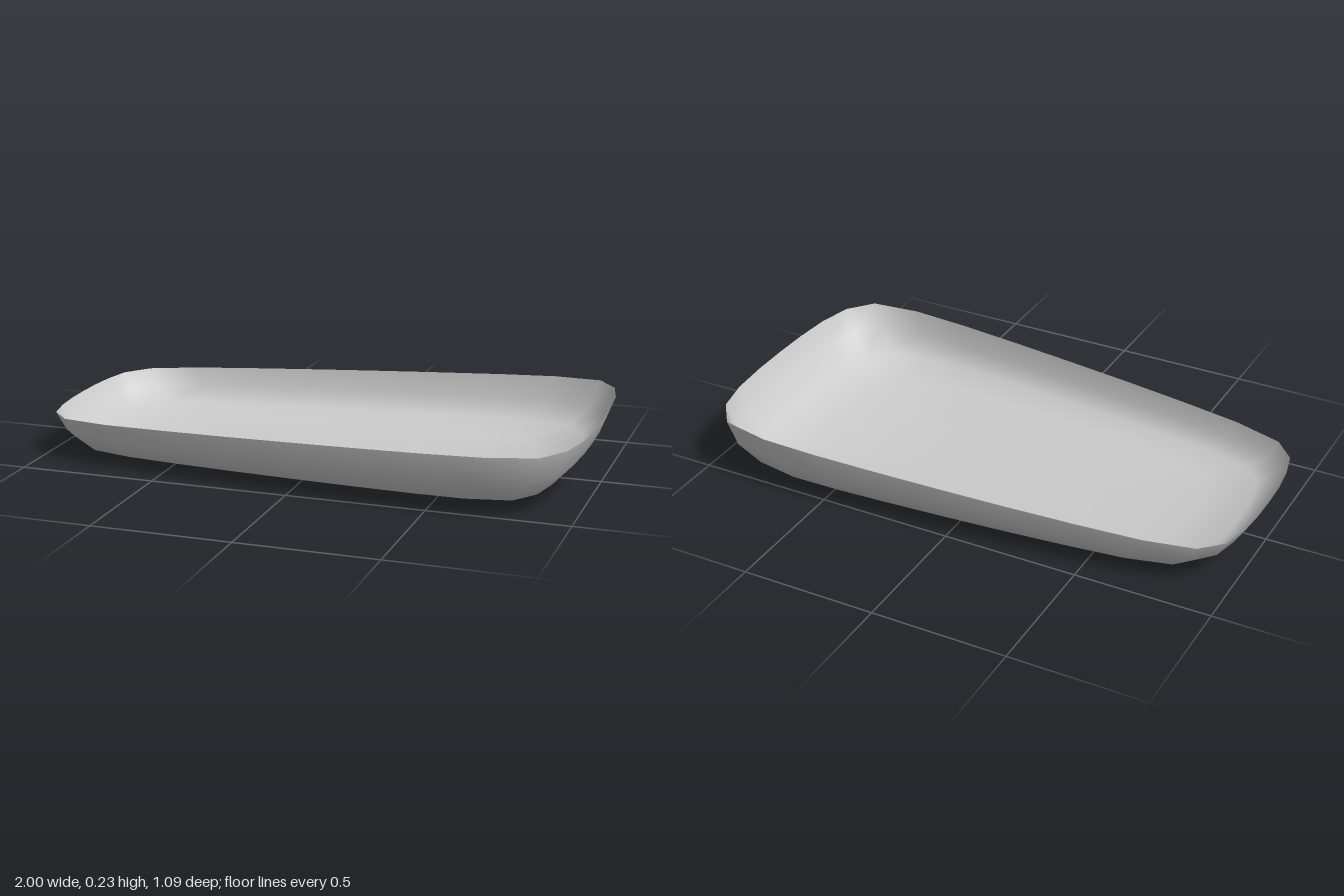
import * as THREE from 'three';

// Half of the rim outline as [x, z], from the narrow end to the wide end
const HALF_RIM = [
  [-1, 0], [-0.998, 0.1], [-0.988, 0.2], [-0.965, 0.3], [-0.89, 0.38],
  [-0.71, 0.427], [-0.48, 0.457], [-0.23, 0.484], [0.01, 0.506], [0.26, 0.526],
  [0.5, 0.542], [0.71, 0.547], [0.888, 0.517], [0.96, 0.42], [0.988, 0.29],
  [0.998, 0.14], [1, 0],
];

// Concentric rings from rim to floor: [x scale, z scale, fraction of rim height]
const RINGS = [
  [1, 1, 1], [0.963, 0.974, 0.59], [0.89, 0.9, 0.245], [0.72, 0.7, 0.085],
  [0.48, 0.4, 0.025], [0.24, 0.19, 0.006],
];

// The rim rises steadily towards the wide end
const rimHeight = (x) => 0.193 + 0.0385 * x;

function trayGeometry() {
  const mirrored = HALF_RIM.slice(1, -1).reverse().map(([x, z]) => [x, -z]);
  const outline = [...HALF_RIM, ...mirrored];
  const n = outline.length;
  const positions = [];
  const indices = [];

  for (const [sx, sz, h] of RINGS) {
    for (const [x, z] of outline) positions.push(x * sx, rimHeight(x) * h, z * sz);
  }
  const centre = RINGS.length * n;
  positions.push(0, 0, 0);

  // Quads between the rings, then a fan closing the floor
  for (let i = 0; i < n; i++) {
    const j = (i + 1) % n;
    for (let r = 0; r < RINGS.length - 1; r++) {
      const a = r * n + i, b = r * n + j, c = a + n, d = b + n;
      indices.push(a, b, d, a, d, c);
    }
    const last = (RINGS.length - 1) * n;
    indices.push(last + i, last + j, centre);
  }

  const geometry = new THREE.BufferGeometry();
  geometry.setAttribute('position', new THREE.Float32BufferAttribute(positions, 3));
  geometry.setIndex(indices);
  geometry.computeVertexNormals();
  return geometry;
}

export function createModel() {
  const group = new THREE.Group();
  group.name = 'taperedTray';
  const material = new THREE.MeshStandardMaterial({ color: 0xcccccc, side: THREE.DoubleSide });
  const shell = new THREE.Mesh(trayGeometry(), material);
  shell.name = 'trayShell';
  group.add(shell);
  return group;
}
